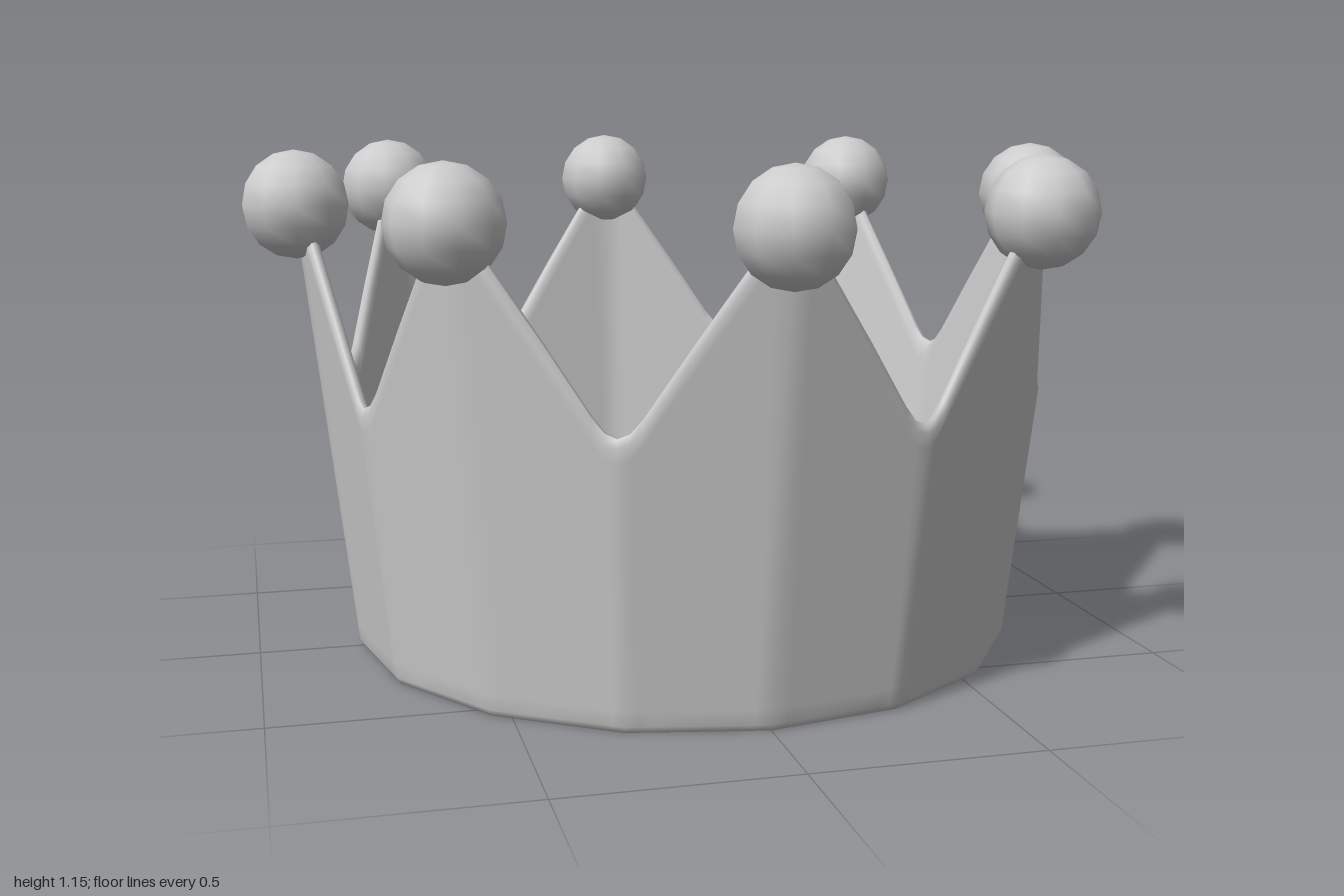
import * as THREE from 'three';

const POINTS = 8;
const WALL = 0.028;
const material = new THREE.MeshStandardMaterial({ color: 0xcccccc });

// Rim height from the middle of a point (t = 0) to the middle of a valley (t = 1)
const RIM = [[0, 1.03], [0.12, 1.01], [0.25, 0.945], [0.55, 0.8], [0.84, 0.66], [0.92, 0.63], [1, 0.62]];

// The band flares outwards with height
const outerRadius = (y) => 0.77 + 0.115 * y;

// Rounded wall section: [share of the wall from outside to inside, height]
const wallSection = (h) => [
  [0.25, 0], [0, 0.015], [0, 0.05], [0, h - 0.05], [0, h - 0.02], [0.3, h],
  [0.7, h], [1, h - 0.02], [1, h - 0.05], [1, 0.05], [1, 0.015], [0.75, 0],
];

// Sixteen flat facets, each running between the middle of a point and a valley
function bandGeometry() {
  const columns = [];
  const step = Math.PI / POINTS;
  for (let f = 0; f < POINTS * 2; f++) {
    const rising = f % 2 === 1;
    const rim = rising ? RIM.slice(1).reverse() : RIM.slice(0, -1);
    for (const [t, h] of rim) {
      const u = rising ? 1 - t : t;
      const x = THREE.MathUtils.lerp(Math.sin(f * step), Math.sin((f + 1) * step), u);
      const z = THREE.MathUtils.lerp(Math.cos(f * step), Math.cos((f + 1) * step), u);
      columns.push({ x, z, h });
    }
  }

  const positions = [];
  const index = [];
  const n = wallSection(1).length;
  columns.forEach(({ x, z, h }, c) => {
    const next = (c + 1) % columns.length;
    wallSection(h).forEach(([s, y], i) => {
      const r = outerRadius(y) - s * WALL;
      positions.push(x * r, y, z * r);
      const j = (i + 1) % n;
      const a = c * n + i, b = next * n + i, d = next * n + j, e = c * n + j;
      index.push(a, b, d, a, d, e);
    });
  });

  const geometry = new THREE.BufferGeometry();
  geometry.setAttribute('position', new THREE.Float32BufferAttribute(positions, 3));
  geometry.setIndex(index);
  geometry.computeVertexNormals();
  return geometry;
}

export function createModel() {
  const crown = new THREE.Group();
  crown.name = 'crown';

  // Band with pointed rim
  const band = new THREE.Mesh(bandGeometry(), material);
  band.name = 'band';
  crown.add(band);

  // A ball on every point
  const balls = new THREE.Group();
  balls.name = 'balls';
  const ballGeometry = new THREE.SphereGeometry(0.121, 10, 8);
  for (let i = 0; i < POINTS; i++) {
    const angle = (i / POINTS) * Math.PI * 2;
    const ball = new THREE.Mesh(ballGeometry, material);
    ball.name = `ball${i + 1}`;
    ball.position.set(Math.sin(angle) * 0.884, 1.031, Math.cos(angle) * 0.884);
    ball.rotation.y = angle;
    balls.add(ball);
  }
  crown.add(balls);

  return crown;
}
